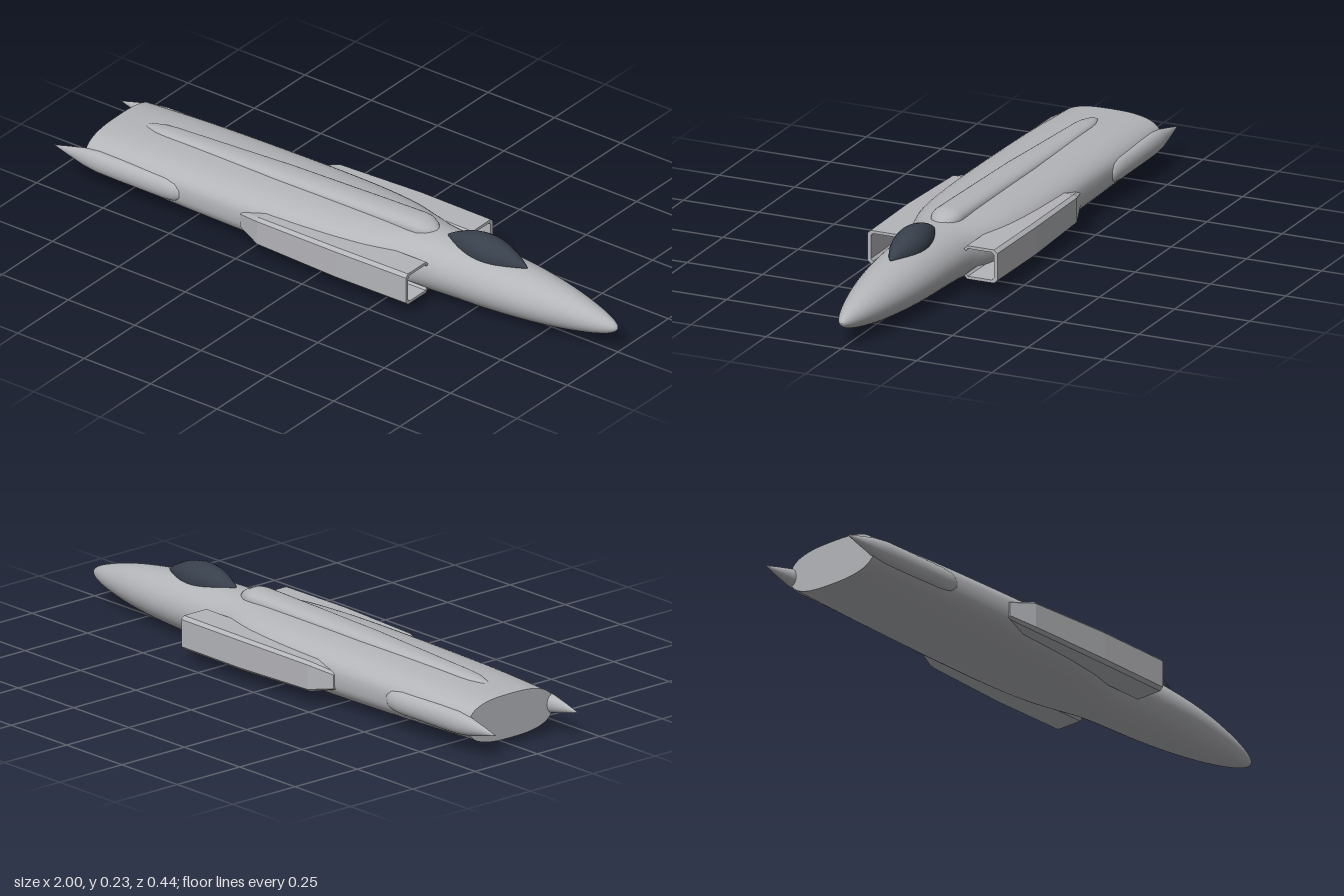
import * as THREE from 'three';

const hull = new THREE.MeshStandardMaterial({ color: 0xb4b5b9 });
hull.name = 'hullGrey';
const glass = new THREE.MeshStandardMaterial({ color: 0x38404c });
glass.name = 'canopyGlass';

// Skin a list of rings (same point count, running from +y towards +z) along +x, with flat end caps.
function loft(rings, flat = false) {
  const n = rings[0].length, pos = [], idx = [];
  rings.forEach(r => r.forEach(p => pos.push(...p)));
  for (let i = 0; i < rings.length - 1; i++) {
    for (let j = 0; j < n; j++) {
      const a = i * n + j, b = i * n + (j + 1) % n;
      idx.push(a, b, a + n, b, b + n, a + n);
    }
  }
  [rings[0], rings[rings.length - 1]].forEach((ring, end) => {
    const size = Math.max(...ring.map(p => p[1])) - Math.min(...ring.map(p => p[1]));
    if (size < 0.004) return;
    const base = pos.length / 3;
    ring.forEach(p => pos.push(...p));
    const outline = ring.map(p => new THREE.Vector2(p[1], p[2]));
    for (const [a, b, c] of THREE.ShapeUtils.triangulateShape(outline, [])) {
      idx.push(base + a, base + (end ? b : c), base + (end ? c : b));
    }
  });
  let geo = new THREE.BufferGeometry();
  geo.setAttribute('position', new THREE.Float32BufferAttribute(pos, 3));
  geo.setIndex(idx);
  if (flat) geo = geo.toNonIndexed();
  geo.computeVertexNormals();
  return geo;
}

// Superellipse ring: centre (x, y, z), half height, half width, exponent
function ring(x, y, z, ry, rz, e = 2, n = 48) {
  const pw = v => Math.sign(v) * Math.pow(Math.abs(v), 2 / e);
  return Array.from({ length: n }, (_, j) => {
    const a = (j / n) * Math.PI * 2;
    return [x, y + ry * pw(Math.cos(a)), z + rz * pw(Math.sin(a))];
  });
}

// Mirror rings to the other side while keeping their winding
const side = (rings, s) =>
  s > 0 ? rings : rings.map(r => r.map(([x, y, z]) => [x, y, -z]).reverse());

function add(group, name, geo, mat) {
  const mesh = new THREE.Mesh(geo, mat);
  mesh.name = name;
  group.add(mesh);
}

export function createModel() {
  const model = new THREE.Group();
  model.name = 'aircraftBody';

  // Fuselage stations: x, bottom, top, half width, exponent
  const stations = [
    [-0.88, 0.022, 0.162, 0.168, 2.7], [-0.65, 0.016, 0.172, 0.176, 2.7],
    [-0.4, 0.01, 0.178, 0.179, 2.7], [-0.15, 0.006, 0.182, 0.178, 2.7],
    [0.02, 0.003, 0.184, 0.173, 2.6], [0.14, 0.001, 0.185, 0.16, 2.5],
    [0.24, 0, 0.185, 0.135, 2.3], [0.32, 0, 0.185, 0.115, 2.1],
    [0.42, 0.001, 0.184, 0.108, 2], [0.55, 0.004, 0.178, 0.102, 2],
    [0.68, 0.011, 0.167, 0.09, 2], [0.8, 0.022, 0.15, 0.07, 2],
    [0.9, 0.038, 0.127, 0.047, 2], [0.96, 0.053, 0.108, 0.028, 2],
    [0.99, 0.067, 0.093, 0.013, 2], [1, 0.08, 0.08, 0, 2],
  ];
  const curve = f => new THREE.CatmullRomCurve3(
    stations.map(f).map(p => new THREE.Vector3(...p)), false, 'catmullrom');
  const heights = curve(s => [s[0], s[1], s[2]]);
  const widths = curve(s => [s[0], s[3], s[4]]);
  const body = [];
  for (let i = 0; i <= 60; i++) {
    const h = heights.getPoint(i / 60), w = widths.getPoint(i / 60);
    body.push(ring(h.x, (h.y + h.z) / 2, 0, Math.abs(h.z - h.y) / 2, Math.abs(w.y), w.z));
  }
  add(model, 'fuselage', loft(body), hull);

  // Raised spine behind the cockpit: x, top, half width
  const spine = [
    [-0.78, 0.165, 0.004], [-0.76, 0.173, 0.016], [-0.72, 0.179, 0.028], [-0.68, 0.182, 0.032],
    [-0.45, 0.19, 0.041], [-0.25, 0.198, 0.048], [0.1, 0.208, 0.05], [0.25, 0.212, 0.05],
    [0.275, 0.21, 0.047], [0.3, 0.2, 0.036], [0.315, 0.191, 0.022], [0.322, 0.184, 0.006],
  ].map(([x, top, w]) => ring(x, (top + 0.15) / 2, 0, (top - 0.15) / 2, w, 2.3, 28));
  add(model, 'spine', loft(spine), hull);

  // Lens-shaped canopy
  const canopy = [];
  for (let i = 0; i <= 20; i++) {
    const t = i / 20, k = Math.pow(Math.sin(Math.PI * t), 0.85);
    canopy.push(ring(0.355 + 0.305 * t, 0.18 - 0.009 * t, 0, 0.055 * k + 0.0005, 0.051 * k + 0.0005, 2, 20));
  }
  add(model, 'canopy', loft(canopy), glass);

  // Intake wall section (y, z): a chamfered channel open towards the body
  const half = [[0.13, 0.108], [0.142, 0.118], [0.142, 0.208], [0.132, 0.219]];
  const inner = [[0.126, 0.207], [0.133, 0.2], [0.133, 0.121], [0.126, 0.115]];
  const mid = 0.089;
  const flip = pts => pts.map(([y, z]) => [2 * mid - y, z]).reverse();
  const section = [...half, ...flip(half), ...flip(inner), ...inner];
  // x, height scale, outward shift
  const intake = [[-0.285, 0.5, -0.037], [-0.2, 0.9, -0.008], [0.1, 1, 0], [0.365, 1, -0.003]]
    .map(([x, s, dz]) => section.map(([y, z]) => [x, mid + (y - mid) * s, z + dz]));

  // Tail fairing with pointed end: x, half height, half width
  const fairing = [
    [-1, 0, 0], [-0.94, 0.015, 0.011], [-0.88, 0.029, 0.02], [-0.83, 0.035, 0.025],
    [-0.75, 0.036, 0.026], [-0.58, 0.036, 0.026], [-0.54, 0.032, 0.023],
    [-0.52, 0.022, 0.016], [-0.51, 0, 0],
  ].map(([x, ry, rz]) => ring(x, 0.093, 0.165, ry, rz, 2, 24));

  for (const [s, label] of [[1, 'left'], [-1, 'right']]) {
    add(model, label + 'Intake', loft(side(intake, s), true), hull);
    add(model, label + 'TailFairing', loft(side(fairing, s)), hull);
  }
  return model;
}
